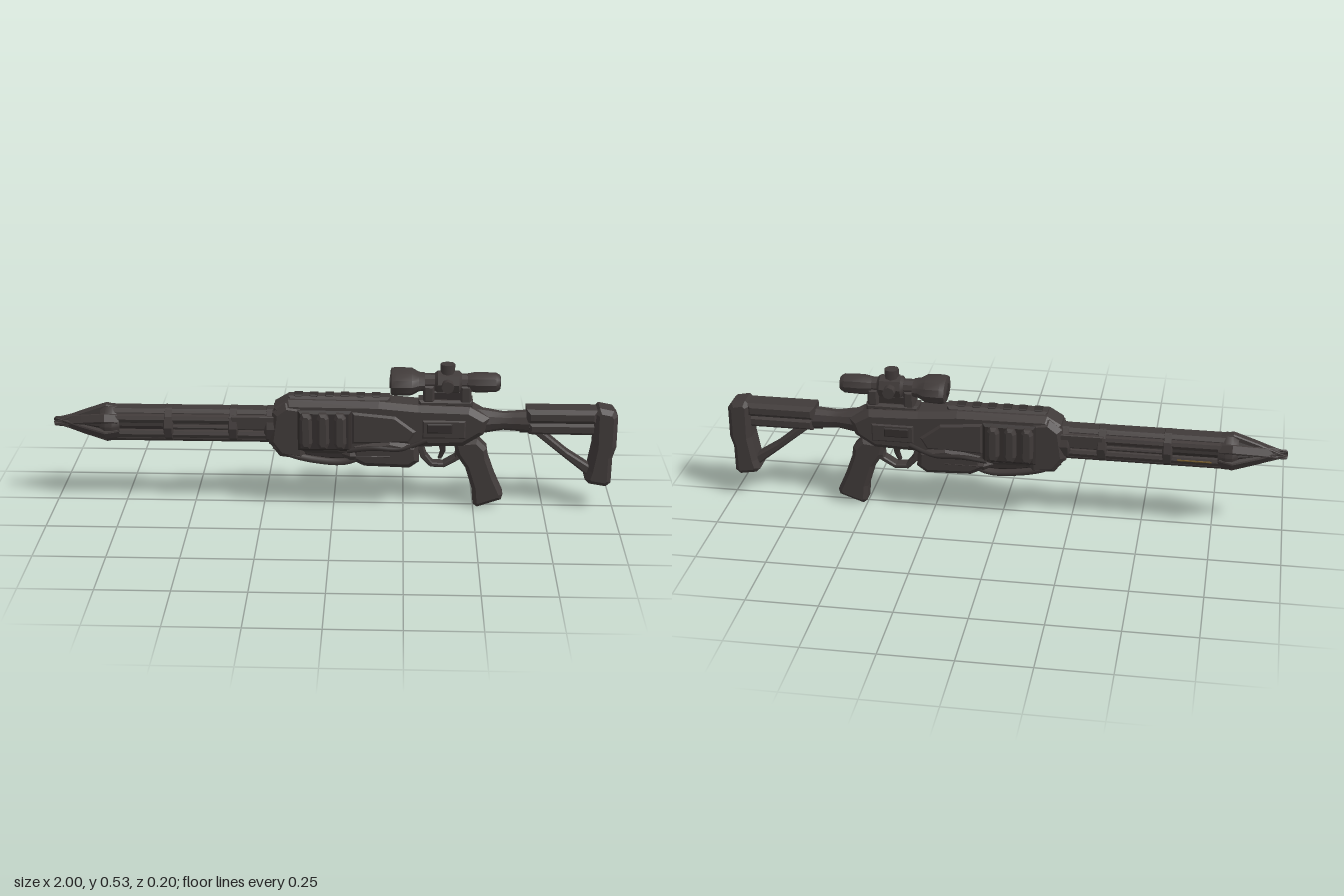
import * as THREE from 'three';
import { toCreasedNormals } from 'three/addons/utils/BufferGeometryUtils.js';

export function createModel() {
  const model = new THREE.Group();
  model.name = 'rifle';
  const mat = (name, color) => Object.assign(new THREE.MeshStandardMaterial({ color }), { name });
  const gunmetal = mat('gunmetal', 0x403a39);
  const darkMetal = mat('dark metal', 0x332e2d);
  const brass = mat('brass', 0x6e5526);

  function add(name, geo, material = gunmetal, parent = model) {
    const mesh = new THREE.Mesh(geo, material);
    mesh.name = name;
    parent.add(mesh);
    return mesh;
  }

  // Side outline (x, y) extruded to +-hz with chamfered edges
  function slab(name, pts, hz, bevel = 0.012, material = gunmetal, holes = []) {
    const shape = new THREE.Shape(pts.map(p => new THREE.Vector2(...p)));
    for (const h of holes) shape.holes.push(new THREE.Path(h.map(p => new THREE.Vector2(...p))));
    const geo = new THREE.ExtrudeGeometry(shape, {
      depth: 2 * (hz - bevel), bevelEnabled: true, bevelSegments: 1,
      bevelThickness: bevel, bevelSize: bevel, bevelOffset: -bevel, curveSegments: 6,
    });
    geo.translate(0, 0, -(hz - bevel));
    return add(name, geo, material);
  }
  const block = (name, x0, x1, y0, y1, hz, bevel, material) =>
    slab(name, [[x0, y0], [x1, y0], [x1, y1], [x0, y1]], hz, bevel, material);

  // Turned part along x: profile of [x, radius]
  function turned(name, profile, y, z = 0, sides = 12, zScale = 1, material = gunmetal) {
    const last = profile[profile.length - 1];
    const pts = [[profile[0][0], 0], ...profile, [last[0], 0]].map(([x, r]) => new THREE.Vector2(r, x));
    const geo = new THREE.LatheGeometry(pts, sides);
    geo.rotateZ(-Math.PI / 2);
    geo.scale(1, 1, zScale);
    geo.translate(0, y, z);
    return add(name, toCreasedNormals(geo, 0.6), material);
  }
  const rod = (name, x0, x1, r, y, z, material, sides = 8) =>
    turned(name, [[x0, r], [x1, r]], y, z, sides, 1, material);

  function pipe(name, pts, r, material = gunmetal) {
    const curve = new THREE.CatmullRomCurve3(pts.map(p => new THREE.Vector3(...p)));
    return add(name, new THREE.TubeGeometry(curve, 14, r, 7), material);
  }

  // Pointed muzzle: inner cone, claws around it and collar
  turned('muzzleCone', [[-1, 0.002], [-0.9, 0.031], [-0.81, 0.056]], 0.3, 0, 8, 1, darkMetal);
  for (let i = 0; i < 6; i++) {
    const claw = slab('muzzleClaw', [[-1, 0], [-0.79, 0.01], [-0.76, 0.058], [-0.81, 0.07], [-0.9, 0.039]], 0.017, 0.004);
    claw.position.y = 0.3;
    claw.rotation.x = i * Math.PI / 3;
  }
  turned('muzzleCollar', [[-0.83, 0.054], [-0.81, 0.067], [-0.785, 0.067], [-0.76, 0.058]], 0.3, 0, 10, 0.95);

  // Barrel: core, rods and clamps
  rod('barrelCore', -0.8, -0.18, 0.042, 0.3, 0, darkMetal, 10);
  block('barrelTopRail', -0.79, -0.18, 0.318, 0.36, 0.036, 0.012);
  block('barrelBottomRail', -0.79, -0.18, 0.237, 0.275, 0.03, 0.011);
  for (const s of [1, -1]) {
    rod('upperSideRod', -0.8, -0.18, 0.018, 0.327, s * 0.035);
    rod('lowerSideRod', -0.8, -0.18, 0.017, 0.272, s * 0.035);
    rod('thinSideRod', -0.6, -0.18, 0.009, 0.3, s * 0.046);
    block('barrelSleevePlate', -0.36, -0.2, 0.295, 0.345, 0.006, 0.003).position.z = s * 0.05;
  }
  block('brassInlay', -0.74, -0.62, 0.272, 0.277, 0.003, 0.001, brass).position.z = -0.051;
  for (const [x, w] of [[-0.585, 0.018], [-0.355, 0.018], [-0.215, 0.03]]) {
    turned('barrelClamp', [[x - w, 0.056], [x - w * 0.7, 0.066], [x + w * 0.7, 0.066], [x + w, 0.056]], 0.3, 0, 10, 0.97);
  }

  // Main body
  slab('receiver', [[-0.23, 0.24], [-0.18, 0.205], [0.05, 0.2], [0.3, 0.235], [0.46, 0.24], [0.53, 0.285],
    [0.55, 0.345], [0.48, 0.385], [0.3, 0.39], [0.16, 0.402], [-0.16, 0.405], [-0.21, 0.375]], 0.06, 0.02);
  slab('frontShroud', [[-0.23, 0.25], [-0.19, 0.195], [-0.1, 0.185], [-0.1, 0.385], [-0.17, 0.395], [-0.215, 0.36]], 0.066, 0.018);
  block('topRail', -0.16, 0.2, 0.385, 0.413, 0.03, 0.01);
  for (let i = 0; i < 6; i++) block('railTooth', -0.14 + i * 0.055, -0.11 + i * 0.055, 0.4, 0.417, 0.022, 0.004, darkMetal);
  slab('sideHousing', [[0.06, 0.245], [0.27, 0.25], [0.3, 0.3], [0.22, 0.36], [0.06, 0.375]], 0.068, 0.014);
  block('rearPanel', 0.31, 0.47, 0.27, 0.345, 0.065, 0.009);
  block('ejectionPort', 0.33, 0.42, 0.295, 0.33, 0.069, 0.004, darkMetal);

  // Cooling fins on both sides, with a dark bed behind
  block('finBed', -0.125, 0.065, 0.225, 0.375, 0.076, 0.01, darkMetal);
  for (let i = 0; i < 3; i++) {
    const x = -0.095 + i * 0.06;
    for (const s of [1, -1]) {
      const fin = slab('coolingFin', [[x - 0.022, 0.26], [x - 0.012, 0.24], [x + 0.014, 0.24], [x + 0.022, 0.26],
        [x + 0.02, 0.355], [x + 0.01, 0.37], [x - 0.014, 0.37], [x - 0.022, 0.35]], 0.02, 0.01);
      fin.position.z = s * 0.08;
    }
  }

  // Lower pod and fore pipes
  slab('lowerPod', [[0.06, 0.19], [0.11, 0.165], [0.27, 0.16], [0.305, 0.185], [0.3, 0.25], [0.2, 0.27], [0.07, 0.245]], 0.073, 0.018);
  turned('podCylinder', [[0.03, 0.025], [0.06, 0.038], [0.2, 0.038], [0.23, 0.028]], 0.207, 0, 10, 1.95);
  slab('underBelly', [[-0.15, 0.205], [-0.06, 0.18], [0.08, 0.175], [0.12, 0.24], [-0.15, 0.25]], 0.045, 0.014, darkMetal);
  for (const s of [1, -1]) {
    pipe('underPipe', [[-0.21, 0.235, s * 0.045], [-0.15, 0.205, s * 0.052], [-0.06, 0.183, s * 0.05],
      [0.04, 0.178, s * 0.05], [0.1, 0.2, s * 0.052]], 0.013);
    pipe('sidePipe', [[0.05, 0.225, s * 0.066], [0.14, 0.238, s * 0.072], [0.24, 0.235, s * 0.068], [0.33, 0.265, s * 0.058]], 0.009, darkMetal);
  }

  // Trigger and guard
  slab('triggerGuard', [[0.29, 0.25], [0.31, 0.185], [0.345, 0.15], [0.395, 0.148], [0.45, 0.18], [0.46, 0.25]], 0.022, 0.004, gunmetal,
    [[[0.318, 0.235], [0.33, 0.195], [0.353, 0.166], [0.39, 0.164], [0.432, 0.19], [0.437, 0.235]]]);
  slab('trigger', [[0.37, 0.245], [0.38, 0.205], [0.372, 0.178], [0.385, 0.178], [0.398, 0.205], [0.4, 0.245]], 0.01, 0.003, darkMetal);

  // Pistol grip
  slab('grip', [[0.425, 0.25], [0.437, 0.2], [0.47, 0.15], [0.495, 0.07], [0.5, 0.012], [0.515, 0],
    [0.6, 0.03], [0.606, 0.05], [0.575, 0.12], [0.55, 0.19], [0.545, 0.225], [0.51, 0.26]], 0.038, 0.014);

  // Stock: neck, cheek piece, strut and butt
  turned('stockNeck', [[0.5, 0.05], [0.55, 0.042], [0.6, 0.033], [0.64, 0.036], [0.69, 0.04]], 0.323, 0, 10);
  rod('stockTube', 0.66, 0.93, 0.026, 0.305, 0, darkMetal, 10);
  block('cheekPiece', 0.68, 0.93, 0.325, 0.376, 0.046, 0.014);
  block('stockUnderRail', 0.69, 0.93, 0.28, 0.322, 0.032, 0.01);
  slab('stockStrut', [[0.7, 0.29], [0.74, 0.29], [0.83, 0.215], [0.93, 0.15], [0.93, 0.12], [0.9, 0.128], [0.82, 0.192]], 0.025, 0.006);
  slab('butt', [[0.905, 0.15], [0.895, 0.115], [0.91, 0.1], [0.97, 0.09], [0.987, 0.105], [0.988, 0.2], [1, 0.24],
    [1, 0.355], [0.985, 0.375], [0.935, 0.385], [0.918, 0.365], [0.92, 0.24]], 0.05, 0.016);

  // Scope with turrets and mount
  turned('scopeObjective', [[0.2, 0.036], [0.203, 0.044], [0.22, 0.047], [0.275, 0.045], [0.3, 0.032], [0.32, 0.03]], 0.465, 0, 12, 1.6);
  rod('scopeTube', 0.3, 0.52, 0.03, 0.465, 0, gunmetal, 10);
  turned('scopeEyepiece', [[0.47, 0.03], [0.5, 0.036], [0.57, 0.034], [0.583, 0.027]], 0.465, 0, 10, 1.1);
  turned('scopeMidBlock', [[0.355, 0.032], [0.365, 0.042], [0.44, 0.042], [0.45, 0.032]], 0.465, 0, 8);
  add('scopeTopTurret', new THREE.CylinderGeometry(0.026, 0.026, 0.045, 8)).position.set(0.4, 0.509, 0);
  for (const s of [1, -1]) {
    const knob = add('scopeSideTurret', new THREE.CylinderGeometry(0.022, 0.022, 0.03, 8));
    knob.position.set(0.4, 0.465, s * 0.052);
    knob.rotation.x = Math.PI / 2;
    const lens = add(s > 0 ? 'rearLens' : 'frontLens', new THREE.CylinderGeometry(0.024, 0.024, 0.004, 10), darkMetal);
    lens.rotation.z = Math.PI / 2;
    lens.position.set(s > 0 ? 0.584 : 0.199, 0.465, 0);
  }
  block('scopeMountBase', 0.3, 0.49, 0.38, 0.405, 0.034, 0.008);
  for (const x of [0.335, 0.465]) block('scopeMountRing', x - 0.02, x + 0.02, 0.395, 0.46, 0.034, 0.008);
  block('scopeMountWeb', 0.33, 0.47, 0.4, 0.435, 0.02, 0.005, darkMetal);

  return model;
}
